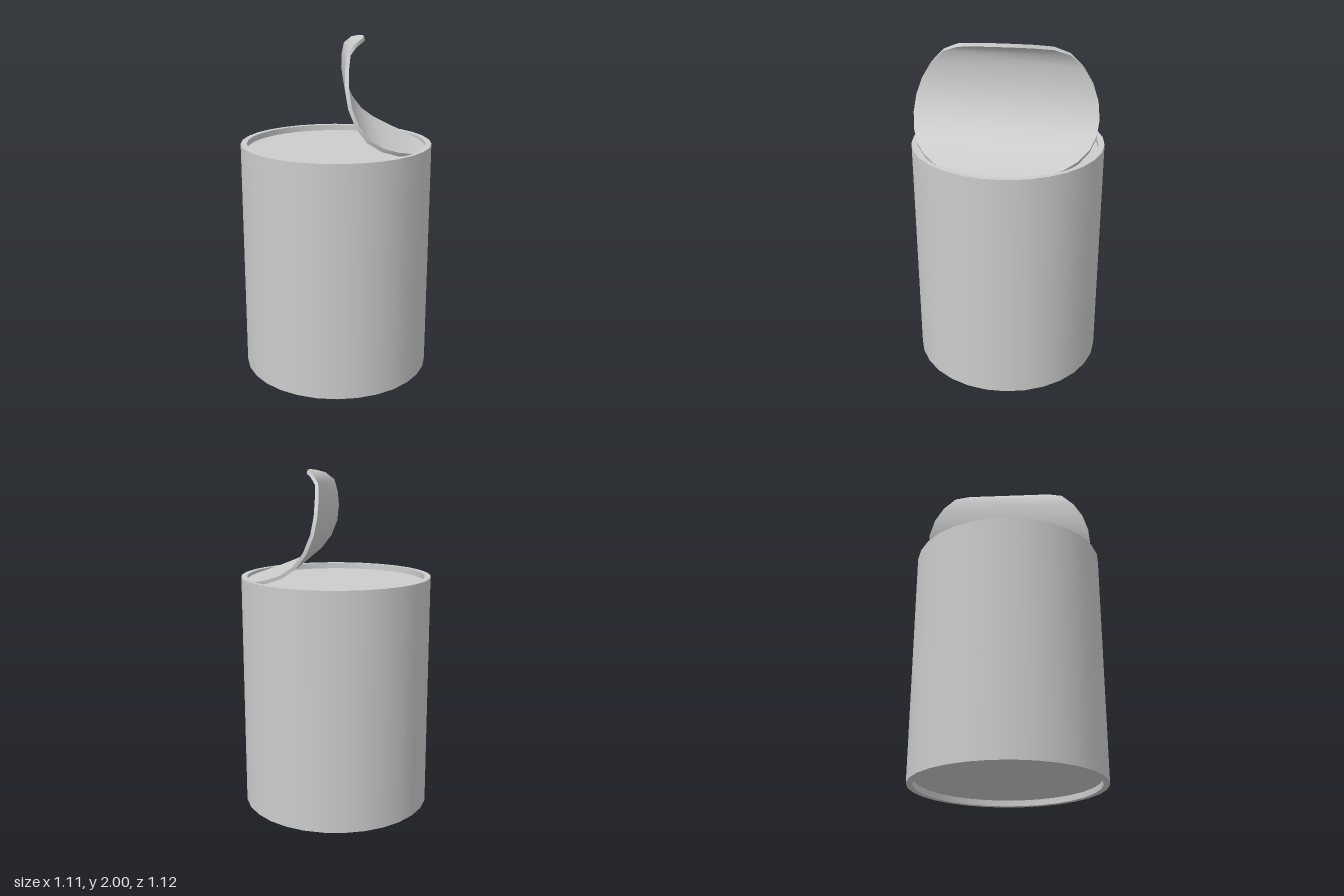
import * as THREE from 'three';
import { mergeGeometries } from 'three/addons/utils/BufferGeometryUtils.js';

const SIDES = 30;
const OUTER = 0.56, INNER = 0.525;   // can radius and radius inside the rim
const HEIGHT = 1.385, RECESS = 0.035;
const THICK = 0.02;                  // lid sheet thickness

// Can shell: one lathe band per profile segment keeps the rim edges sharp
function canGeometry() {
  const profile = [
    [0, RECESS], [INNER, RECESS], [INNER, 0], [OUTER, 0],
    [OUTER, HEIGHT], [INNER, HEIGHT], [INNER, HEIGHT - RECESS], [0, HEIGHT - RECESS],
  ].map(([x, y]) => new THREE.Vector2(x, y));
  const bands = profile.slice(1).map((p, i) => new THREE.LatheGeometry([profile[i], p], SIDES));
  return mergeGeometries(bands);
}

// Peeled lid: a round disc rolled along a curve that rises from the rim
function lidGeometry() {
  const curve = new THREE.CatmullRomCurve3([
    [0.522, 1.345], [0.45, 1.358], [0.341, 1.389], [0.188, 1.458], [0.114, 1.537],
    [0.071, 1.617], [0.045, 1.712], [0.04, 1.818], [0.055, 1.934], [0.098, 1.976], [0.156, 1.998],
  ].map(([x, y]) => new THREE.Vector3(x, y, 0)));
  curve.arcLengthDivisions = 400;

  // Each row is a rectangle across the disc: two outer and two inner corners
  const rows = [];
  const step = (2 * Math.PI) / SIDES;
  for (let k = 0; k < SIDES / 2; k++) {
    const angle = (k + 0.5) * step;
    const u = THREE.MathUtils.clamp((1 - Math.cos(angle) / Math.cos(step / 2)) / 2, 0, 1);
    const half = INNER * Math.sin(angle);
    const p = curve.getPointAt(u), t = curve.getTangentAt(u);
    const qx = p.x + t.y * THICK, qy = p.y - t.x * THICK;
    rows.push([[p.x, p.y, -half], [p.x, p.y, half], [qx, qy, half], [qx, qy, -half]]);
  }

  const positions = [], indices = [];
  // Four strips with their own vertices: smooth along the sheet, sharp at its edges
  for (let side = 0; side < 4; side++) {
    const base = positions.length / 3;
    rows.forEach((row, i) => {
      positions.push(...row[side], ...row[(side + 1) % 4]);
      if (i === 0) return;
      const a = base + 2 * (i - 1);
      indices.push(a, a + 1, a + 2, a + 1, a + 3, a + 2);
    });
  }
  // Closing faces at both ends
  for (const row of [[...rows[0]].reverse(), rows[rows.length - 1]]) {
    const a = positions.length / 3;
    positions.push(...row.flat());
    indices.push(a, a + 1, a + 2, a, a + 2, a + 3);
  }

  const geometry = new THREE.BufferGeometry();
  geometry.setAttribute('position', new THREE.Float32BufferAttribute(positions, 3));
  geometry.setIndex(indices);
  geometry.computeVertexNormals();
  return geometry;
}

export function createModel() {
  const metal = new THREE.MeshStandardMaterial({ color: 0xcccccc });
  metal.name = 'grey metal';

  const can = new THREE.Mesh(canGeometry(), metal);
  can.name = 'can';
  const lid = new THREE.Mesh(lidGeometry(), metal);
  lid.name = 'peeledLid';

  const model = new THREE.Group();
  model.name = 'openedCan';
  model.add(can, lid);
  return model;
}
